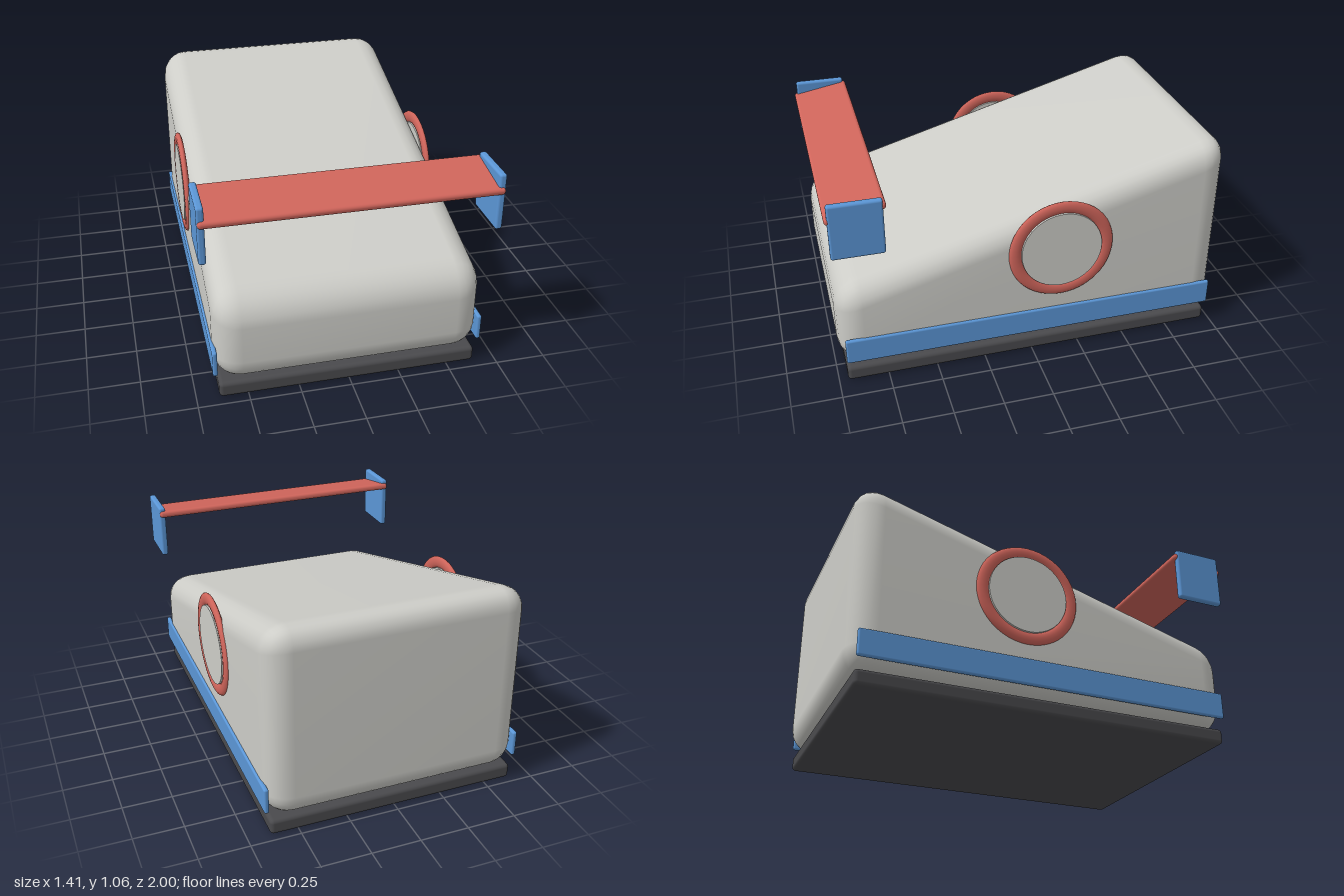
import * as THREE from 'three';
import { mergeVertices } from 'three/addons/utils/BufferGeometryUtils.js';
import { RoundedBoxGeometry } from 'three/addons/geometries/RoundedBoxGeometry.js';

const material = (name, color) => {
  const m = new THREE.MeshStandardMaterial({ color });
  m.name = name;
  return m;
};

// Rounded box whose upper half is sheared so the top falls toward the front.
function wedgeGeometry(w, h, d, radius, slope) {
  const box = new RoundedBoxGeometry(w, h, d, 3, radius);
  box.deleteAttribute('uv');
  box.deleteAttribute('normal');
  const geo = mergeVertices(box, 1e-4);
  const p = geo.attributes.position;
  for (let i = 0; i < p.count; i++) {
    if (p.getY(i) > 0) p.setY(i, p.getY(i) - slope * p.getZ(i));
  }
  geo.computeVertexNormals();
  return geo;
}

export function createModel() {
  const model = new THREE.Group();
  const grey = material('light grey', 0xcdcdc8);
  const red = material('red', 0xd0655b);
  const blue = material('blue', 0x5b96d6);
  const dark = material('dark grey', 0x4a4a4d);

  const add = (name, geometry, mat, x, y, z) => {
    const mesh = new THREE.Mesh(geometry, mat);
    mesh.name = name;
    mesh.position.set(x, y, z);
    model.add(mesh);
    return mesh;
  };
  const roundedBox = (w, h, d, r) => new RoundedBoxGeometry(w, h, d, 3, r);

  // Wedge body on its base slab
  add('body', wedgeGeometry(1.31, 0.734, 1.985, 0.13, 0.285), grey, 0, 0.447, -0.0075);
  add('base', roundedBox(1.28, 0.08, 1.92, 0.02), dark, 0, 0.04, -0.005);

  // Tilted wing floating above the front
  const wing = add('wing', roundedBox(1.406, 0.036, 0.288, 0.016), red, 0, 0.995, 0.856);
  wing.rotation.x = 0.18;

  // Mirrored side parts
  for (const [side, s] of [['left', 1], ['right', -1]]) {
    add(side + 'WingEndPlate', roundedBox(0.035, 0.285, 0.255, 0.012), blue, s * 0.6885, 0.9125, 0.857);
    add(side + 'SideSkirt', roundedBox(0.024, 0.135, 1.92, 0.01), blue, s * 0.655, 0.1975, -0.005);

    const ring = add(side + 'WheelRing', new THREE.TorusGeometry(0.236, 0.032, 12, 48), red, s * 0.655, 0.61, -0.135);
    ring.rotation.y = Math.PI / 2;
    ring.scale.z = 0.5;

    const disc = add(side + 'WheelDisc', new THREE.CylinderGeometry(0.206, 0.206, 0.03, 48), grey, s * 0.656, 0.61, -0.135);
    disc.rotation.z = Math.PI / 2;
  }
  return model;
}
